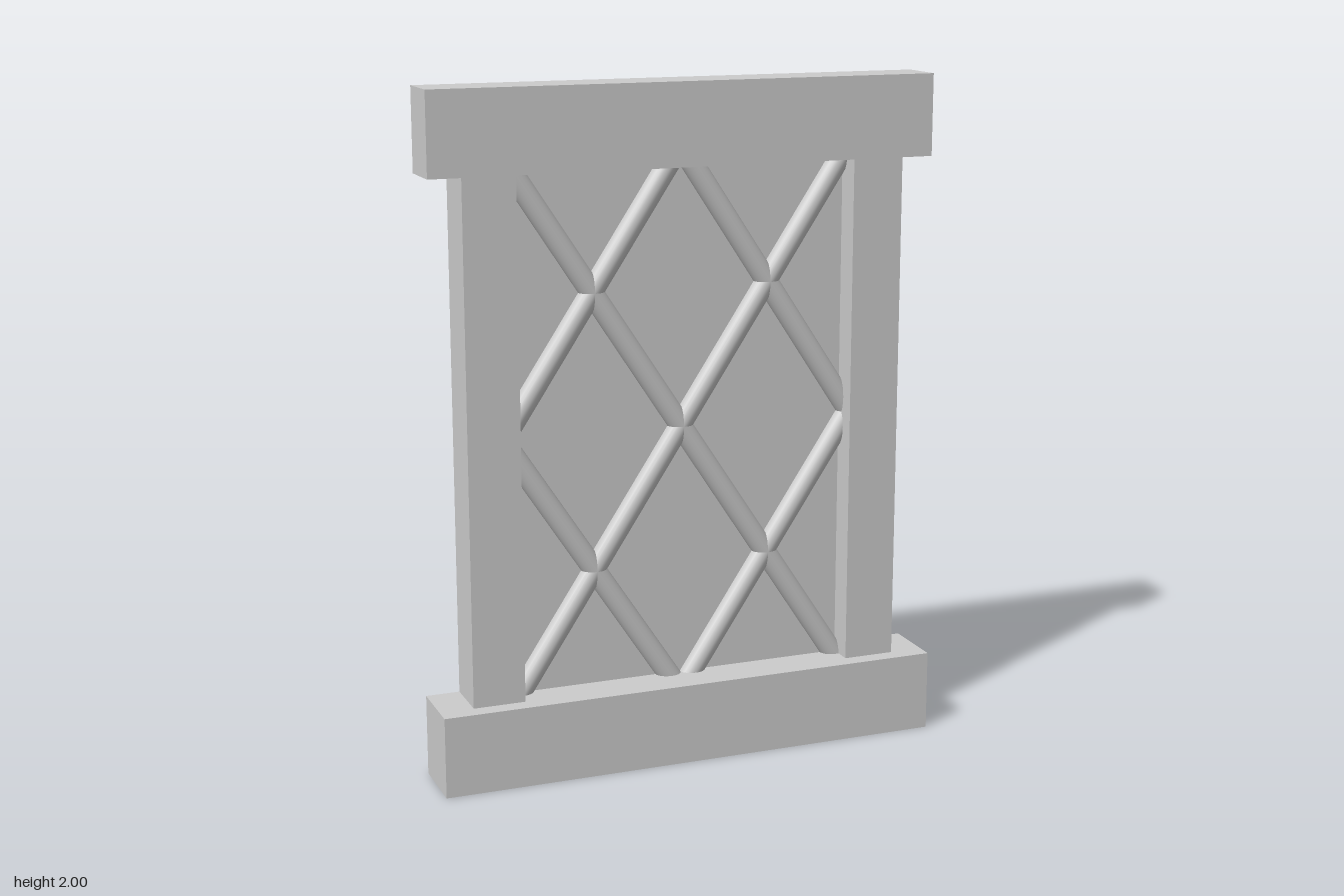
import * as THREE from 'three';

const BACK = -0.1, FRONT = 0.05, SILL_FRONT = 0.1, PANE_Z = -0.03;
const SILL_TOP = 0.24, HEAD = 1.76, TOP = 2;
const OPEN_X = 0.51, POST_X = 0.665, LINTEL_X = 0.76, SILL_X = 0.765;

const material = new THREE.MeshStandardMaterial({ color: 0xcccccc, side: THREE.DoubleSide });

function add(parent, name, geometry) {
  const mesh = new THREE.Mesh(geometry, material);
  mesh.name = name;
  parent.add(mesh);
  return mesh;
}

// Adds the mirrored half to a list of points running from +x to the centre
function mirrored(points) {
  return [...points, ...points.map(([x, y]) => [-x, y]).reverse()];
}

// Wall that follows an outline in x and y, from zBack to zFront
function wall(points, zBack, zFront) {
  const pos = [];
  for (let i = 0; i < points.length - 1; i++) {
    const [a, b] = [points[i], points[i + 1]];
    pos.push(...a, zFront, ...a, zBack, ...b, zBack);
    pos.push(...a, zFront, ...b, zBack, ...b, zFront);
  }
  const g = new THREE.BufferGeometry();
  g.setAttribute('position', new THREE.Float32BufferAttribute(pos, 3));
  g.computeVertexNormals();
  return g;
}

function face(points) {
  return new THREE.ShapeGeometry(new THREE.Shape(points.map(([x, y]) => new THREE.Vector2(x, y))));
}

export function createModel() {
  const model = new THREE.Group();
  model.name = 'latticeWindow';

  // Lintel and posts: a shell open at the back
  const frame = new THREE.Group();
  frame.name = 'frame';
  model.add(frame);
  const outer = mirrored([[POST_X, SILL_TOP], [POST_X, HEAD], [LINTEL_X, HEAD], [LINTEL_X, TOP]]);
  const opening = mirrored([[OPEN_X, SILL_TOP], [OPEN_X, HEAD]]).reverse();
  add(frame, 'frameFront', face([...outer, ...opening])).position.z = FRONT;
  add(frame, 'frameOuterSides', wall(outer, BACK, FRONT));
  add(frame, 'openingReveal', wall(opening, PANE_Z, FRONT));

  // Sill: deeper shell, its top cut out behind the posts and pane
  const sill = new THREE.Group();
  sill.name = 'sill';
  model.add(sill);
  const sides = mirrored([[SILL_X, SILL_TOP], [SILL_X, 0]]).reverse();
  add(sill, 'sillFront', face(sides)).position.z = SILL_FRONT;
  add(sill, 'sillSides', wall(sides, BACK, SILL_FRONT));
  const ledge = mirrored([
    [SILL_X, -SILL_FRONT], [SILL_X, -BACK], [POST_X, -BACK],
    [POST_X, -FRONT], [OPEN_X, -FRONT], [OPEN_X, -PANE_Z],
  ]);
  add(sill, 'sillTop', face(ledge).rotateX(-Math.PI / 2)).position.y = SILL_TOP;

  // Pane
  add(model, 'pane', new THREE.PlaneGeometry(2 * OPEN_X, HEAD - SILL_TOP))
    .position.set(0, (HEAD + SILL_TOP) / 2, PANE_Z);

  // Diagonal lattice bars, half sunk in the pane
  const lattice = new THREE.Group();
  lattice.name = 'lattice';
  model.add(lattice);
  const bars = [
    [-0.53, 1.805, 0.53, 0.195], [0.53, 1.805, -0.53, 0.195],
    [-0.56, 0.97, -0.005, 1.81], [0.58, 0.94, 0.005, 1.81],
    [-0.56, 1.03, 0.0, 0.18], [0.58, 1.06, 0.005, 0.19],
  ];
  for (const [x0, y0, x1, y1] of bars) {
    const dx = x1 - x0, dy = y1 - y0;
    const bar = add(lattice, 'latticeBar', new THREE.CylinderGeometry(0.033, 0.033, Math.hypot(dx, dy), 20));
    bar.position.set((x0 + x1) / 2, (y0 + y1) / 2, PANE_Z);
    bar.rotation.z = Math.atan2(-dx, dy);
  }
  return model;
}
